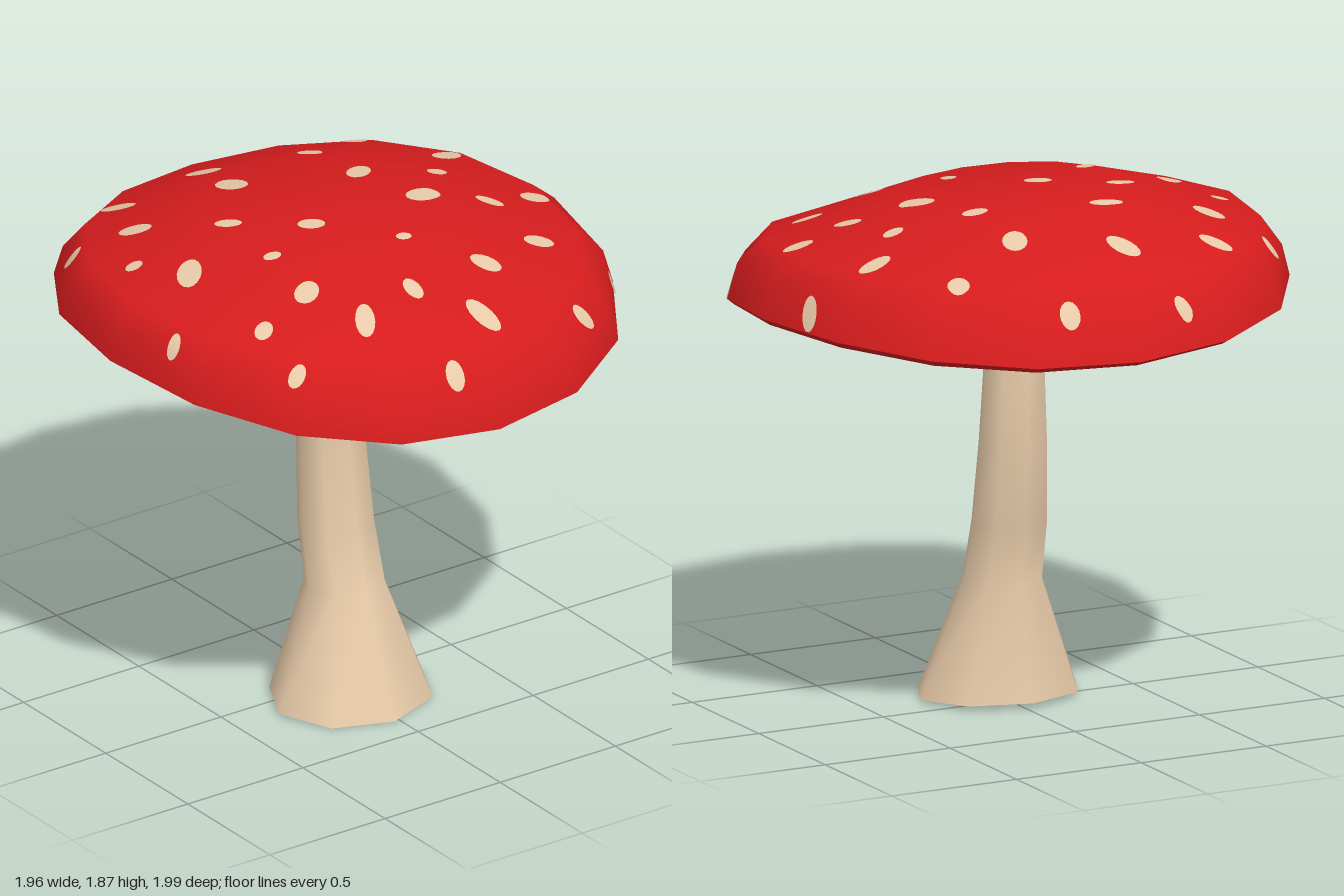
import * as THREE from 'three';
import { mergeVertices } from 'three/addons/utils/BufferGeometryUtils.js';

const red = new THREE.MeshStandardMaterial({ color: 0xd51c1d });
red.name = 'capRed';
const cream = new THREE.MeshStandardMaterial({ color: 0xe6c9a8, side: THREE.DoubleSide });
cream.name = 'cream';
const brown = new THREE.MeshStandardMaterial({ color: 0xb27d5e, side: THREE.DoubleSide });
brown.name = 'gillBrown';

// Elliptical ring whose height is set at its +x, -x, +z and -z ends; bulges square it off
const ringMaker = (bulgeX, bulgeZ) => (cx, cz, rx, rz, px, mx = px, pz = px, mz = px) => (a) => {
  const c = Math.cos(a), s = Math.sin(a);
  const y = (px + mx + pz + mz) / 4 + ((px + mx - pz - mz) / 4) * Math.cos(2 * a)
    + ((px - mx) / 2) * c + ((pz - mz) / 2) * s;
  return [cx + rx * c * (1 + bulgeX * s * s), y, cz + rz * s * (1 + bulgeZ * c * c)];
};
const capRing = ringMaker(0.018, 0.095), stemRing = ringMaker(0, 0);

// Smooth skin through a list of rings
function loft(name, rings, sides, material) {
  const pos = [], index = [];
  rings.forEach((r, i) => {
    for (let j = 0; j < sides; j++) {
      pos.push(...r((j / sides) * Math.PI * 2));
      if (i === rings.length - 1) continue;
      const k = (j + 1) % sides;
      const a = i * sides + j, b = i * sides + k, c = a + sides, d = b + sides;
      index.push(a, d, c, a, b, d);
    }
  });
  let g = new THREE.BufferGeometry();
  g.setAttribute('position', new THREE.Float32BufferAttribute(pos, 3));
  g.setIndex(index);
  g = mergeVertices(g, 1e-5);
  g.computeVertexNormals();
  const mesh = new THREE.Mesh(g, material);
  mesh.name = name;
  return mesh;
}

// Thin painted patch draped over a surface, sharing its normals; outline(t) gives its edge
function drape(name, target, from, dir, heading, outline, segs, steps, lift, material) {
  const caster = new THREE.Raycaster();
  caster.set(from, dir);
  const hit = caster.intersectObject(target)[0];
  const centre = hit.point, n = hit.face.normal.clone();
  const u = new THREE.Vector3(Math.cos(heading), 0, Math.sin(heading));
  u.addScaledVector(n, -u.dot(n)).normalize();
  const v = new THREE.Vector3().crossVectors(n, u);
  const pos = [], normals = [], index = [];
  for (let i = 0; i <= steps; i++) {
    for (let j = 0; j < segs; j++) {
      const [du, dv] = outline((j / segs) * Math.PI * 2);
      const p = centre.clone().addScaledVector(u, (du * i) / steps).addScaledVector(v, (dv * i) / steps);
      caster.set(p.clone().addScaledVector(n, 0.3), n.clone().negate());
      const h = caster.intersectObject(target)[0] ?? { point: p, normal: n };
      p.copy(h.point).addScaledVector(n, lift);
      pos.push(...p);
      normals.push(...h.normal);
      if (i === steps) continue;
      const k = (j + 1) % segs;
      const a = i * segs + j, b = i * segs + k, c = a + segs, d = b + segs;
      index.push(a, c, d);
      if (i > 0) index.push(a, d, b);
    }
  }
  const g = new THREE.BufferGeometry();
  g.setAttribute('position', new THREE.Float32BufferAttribute(pos, 3));
  g.setAttribute('normal', new THREE.Float32BufferAttribute(normals, 3));
  g.setIndex(index);
  const mesh = new THREE.Mesh(g, material);
  mesh.name = name;
  return mesh;
}

// x, z, half length, half width, heading in degrees
const crownSpots = [
  [-0.495, -0.63, 0.068, 0.034, 55], [-0.125, -0.63, 0.072, 0.044, 65], [0.535, -0.63, 0.05, 0.04, -60],
  [-0.6, -0.38, 0.062, 0.038, 45], [-0.205, -0.35, 0.06, 0.04, 25], [0.235, -0.49, 0.062, 0.045, -65],
  [0.7, -0.31, 0.072, 0.038, -15], [-0.755, -0.17, 0.035, 0.026, 0], [-0.39, -0.11, 0.05, 0.028, 25],
  [0.24, -0.2, 0.055, 0.038, -20], [0.53, -0.13, 0.042, 0.03, -10], [-0.665, 0.04, 0.08, 0.045, -50],
  [-0.15, 0.06, 0.05, 0.036, 25], [0.335, 0.06, 0.067, 0.048, 5], [0.57, 0.135, 0.053, 0.03, 45],
  [0.78, 0.115, 0.058, 0.038, 10], [-0.405, 0.18, 0.038, 0.025, -10], [0.08, 0.3, 0.03, 0.025, 0],
  [-0.42, 0.41, 0.058, 0.042, -35], [-0.645, 0.465, 0.047, 0.032, -40], [-0.312, 0.615, 0.08, 0.036, -60],
  [-0.065, 0.56, 0.05, 0.032, 90], [0.285, 0.51, 0.06, 0.042, 45], [0.58, 0.42, 0.058, 0.036, 20],
];
// x, z, half length, half width; these point down the slope
const rimSpots = [
  [-0.22, -0.905, 0.052, 0.03], [0.222, -0.88, 0.058, 0.038], [-0.77, -0.52, 0.05, 0.03],
  [0.918, -0.235, 0.066, 0.038], [-0.887, 0.26, 0.05, 0.026], [-0.65, 0.675, 0.046, 0.028],
  [0.115, 0.735, 0.086, 0.042], [0.525, 0.765, 0.055, 0.032], [-0.122, 0.895, 0.058, 0.035],
  [0.855, 0.475, 0.055, 0.026],
];

export function createModel() {
  const model = new THREE.Group();
  model.name = 'mushroom';

  // Domed cap with a wavy rim
  const rim = capRing(0, 0, 0.98, 0.997, 1.51, 1.54, 1.39, 1.462);
  const crown = loft('capTop', [
    capRing(-0.03, 0, 0, 0, 1.867),
    capRing(-0.045, 0, 0.432, 0.43, 1.84, 1.863, 1.843, 1.868),
    capRing(-0.02, 0.01, 0.87, 0.86, 1.715, 1.75, 1.65, 1.7),
    capRing(-0.01, 0.01, 0.95, 0.96, 1.64, 1.645, 1.505, 1.59),
    rim,
  ], 16, red);
  const under = loft('capUnderside', [
    rim,
    capRing(0, 0, 0.955, 0.97, 1.487, 1.527, 1.381, 1.445),
    capRing(0, 0, 0.75, 0.76, 1.45, 1.487, 1.377, 1.432),
    capRing(0, 0, 0.32, 0.32, 1.478, 1.487, 1.462, 1.478),
    capRing(0, 0, 0, 0, 1.505),
  ], 16, red);
  model.add(crown, under);

  // Pale spots on the cap
  const spots = new THREE.Group();
  spots.name = 'spots';
  const down = new THREE.Vector3(0, -1, 0), up = new THREE.Vector3(0, 1, 0);
  const addSpot = (x, z, a, b, heading) => spots.add(drape('spot', crown, new THREE.Vector3(x, 3, z), down, heading,
    (t) => [a * Math.cos(t), b * Math.sin(t)], 16, 4, 0.004, cream));
  crownSpots.forEach(([x, z, a, b, deg]) => addSpot(x, z, a, b, THREE.MathUtils.degToRad(deg)));
  rimSpots.forEach(([x, z, a, b]) => addSpot(x, z, a, b, Math.atan2(z, x)));
  model.add(spots);

  // Scalloped patches around the stem
  const scallop = (base, depth, lobes, wobble, stretch) => (t) => {
    const r = base + depth * Math.abs(Math.cos((lobes / 2) * t)) + wobble * Math.sin(3 * t + 1);
    return [stretch * r * Math.cos(t), r * Math.sin(t)];
  };
  model.add(
    drape('gillPatch', under, new THREE.Vector3(0.065, 0, -0.065), up, 0,
      scallop(0.54, 0.08, 18, 0.015, 1), 108, 10, 0.004, brown),
    drape('gillCentre', under, new THREE.Vector3(0.095, 0, 0), up, -Math.PI / 4,
      scallop(0.29, 0.03, 10, 0.012, 1.15), 80, 8, 0.008, cream),
  );

  // Curved eight-sided stem, flared and open at the foot
  const stem = [
    [-0.01, -0.02, 0.108, 0.088, 1.52],
    [-0.008, -0.028, 0.118, 0.107, 1.2],
    [-0.008, -0.02, 0.132, 0.115, 0.95],
    [-0.01, 0.012, 0.145, 0.128, 0.65],
    [-0.012, 0.068, 0.153, 0.133, 0.435],
  ].map(([x, z, rx, rz, y]) => stemRing(x, z, rx, rz, y));
  stem.push(stemRing(-0.02, 0.118, 0.31, 0.268, 0.01, 0.01, 0, 0.02));
  model.add(loft('stem', stem, 8, cream));

  return model;
}
